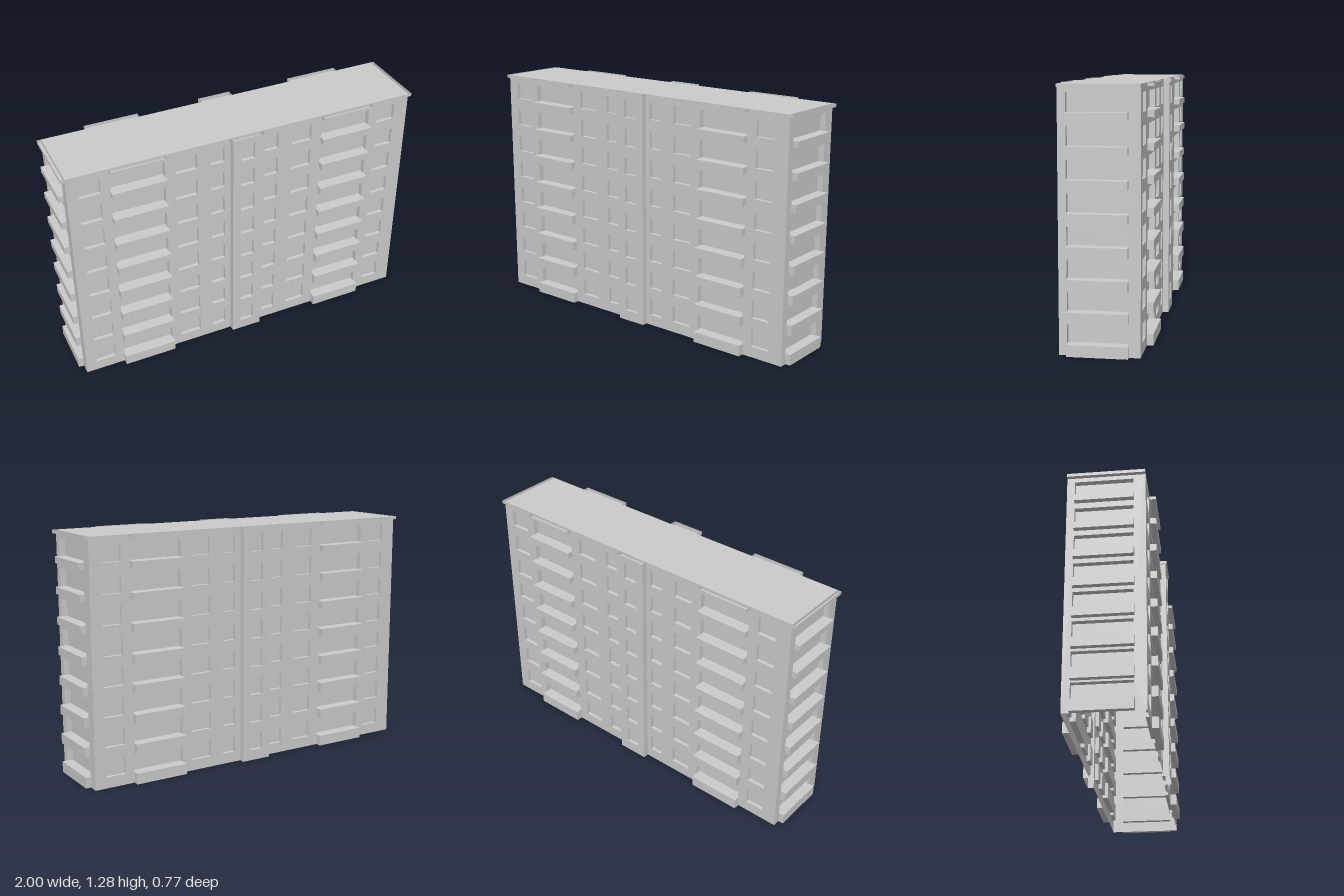
import * as THREE from 'three';

const H = 1.285, U = 0.96, V = 0.196, FLOORS = 8;
const PITCH = 0.1565, SILL = 0.058, WIN_H = 0.092;
const mat = new THREE.MeshStandardMaterial({ color: 0xcccccc, flatShading: true, side: THREE.DoubleSide });

function add(parent, name, geo, x = 0, y = 0, z = 0) {
  const m = new THREE.Mesh(geo, mat);
  m.name = name;
  m.position.set(x, y, z);
  parent.add(m);
  return m;
}

// Box with some faces left out (0:+x 1:-x 2:+y 3:-y 4:+z 5:-z)
function openBox(w, h, d, skip) {
  const g = new THREE.BoxGeometry(w, h, d);
  const idx = Array.from(g.index.array).filter((_, i) => !skip.includes(Math.floor(i / 6)));
  g.setIndex(idx);
  g.clearGroups();
  return g;
}

// Wall panel from x0 to x1 at depth z, with a recessed opening per span and floor
function facade(parent, x0, x1, z, spans) {
  const shape = new THREE.Shape([[x0, 0], [x1, 0], [x1, H], [x0, H]].map(p => new THREE.Vector2(...p)));
  for (const [a, b, depth, name] of spans) {
    for (let i = 0; i < FLOORS; i++) {
      const y = SILL + i * PITCH, t = y + WIN_H;
      shape.holes.push(new THREE.Path([[a, y], [a, t], [b, t], [b, y]].map(p => new THREE.Vector2(...p))));
      add(parent, name, openBox(b - a, WIN_H, depth, [4]), (a + b) / 2, y + WIN_H / 2, z - depth / 2);
    }
  }
  add(parent, 'wall', new THREE.ShapeGeometry(shape), 0, 0, z);
}

// Solid balcony front on every floor
function balconies(parent, a, b, z, depth) {
  for (let i = 0; i < FLOORS; i++) {
    const y = 0.16 * i, h = SILL + i * PITCH - y;
    add(parent, 'balconyParapet', new THREE.BoxGeometry(b - a, h, depth), (a + b) / 2, y + h / 2, z + depth / 2);
  }
}

// Shallow open-topped cornice at roof level
function cornice(parent, a, b, z, depth, h = 0.017) {
  add(parent, 'cornice', openBox(b - a, h, depth, [2, 5]), (a + b) / 2, H - h / 2, z + depth / 2);
}

const win = (a, b) => [a, b, 0.02, 'windowRecess'];
const loggia = (a, b) => [a, b, 0.03, 'loggiaRecess'];

// One long side and one end wall; the other half is the same turned round
function buildHalf() {
  const half = new THREE.Group();

  const side = new THREE.Group();
  side.name = 'longSide';
  const bayL = -0.092, bayR = 0.078, bayD = 0.032;
  facade(side, -U, bayL, V, [win(-0.9, -0.79), loggia(-0.738, -0.452), win(-0.396, -0.279), win(-0.202, -0.126)]);
  facade(side, bayR, U, V, [win(0.104, 0.18), win(0.262, 0.374), loggia(0.432, 0.72), win(0.775, 0.878)]);
  // Projecting stair bay
  facade(side, bayL, bayR, V + bayD, [win(-0.046, 0.031)]);
  for (const x of [bayL, bayR])
    add(side, 'bayCheek', new THREE.PlaneGeometry(bayD, H), x, H / 2, V + bayD / 2).rotation.y = Math.PI / 2;
  cornice(side, bayL - 0.006, bayR + 0.006, V, bayD + 0.007);
  // Balcony stacks
  for (const [a, b] of [[-0.741, -0.449], [0.432, 0.724]]) {
    balconies(side, a, b, V, 0.033);
    cornice(side, a, b, V, 0.033);
  }
  half.add(side);

  const end = new THREE.Group();
  end.name = 'endWall';
  end.rotation.y = Math.PI / 2;
  facade(end, -V, V, U, [loggia(-0.156, 0.135)]);
  balconies(end, -0.156, 0.139, U, 0.028);
  cornice(end, -V, V, U, 0.021);
  half.add(end);
  return half;
}

export function createModel() {
  const model = new THREE.Group();
  model.name = 'apartmentBlock';

  const block = new THREE.Group();
  block.name = 'building';
  block.rotation.y = 0.1973;
  model.add(block);

  for (const turn of [0, Math.PI]) {
    const half = buildHalf();
    half.name = turn ? 'backHalf' : 'frontHalf';
    half.rotation.y = turn;
    block.add(half);
  }

  // Flat roof; the underside of the block stays open
  add(block, 'roof', new THREE.PlaneGeometry(2 * U, 2 * V), 0, H, 0).rotation.x = -Math.PI / 2;
  return model;
}
